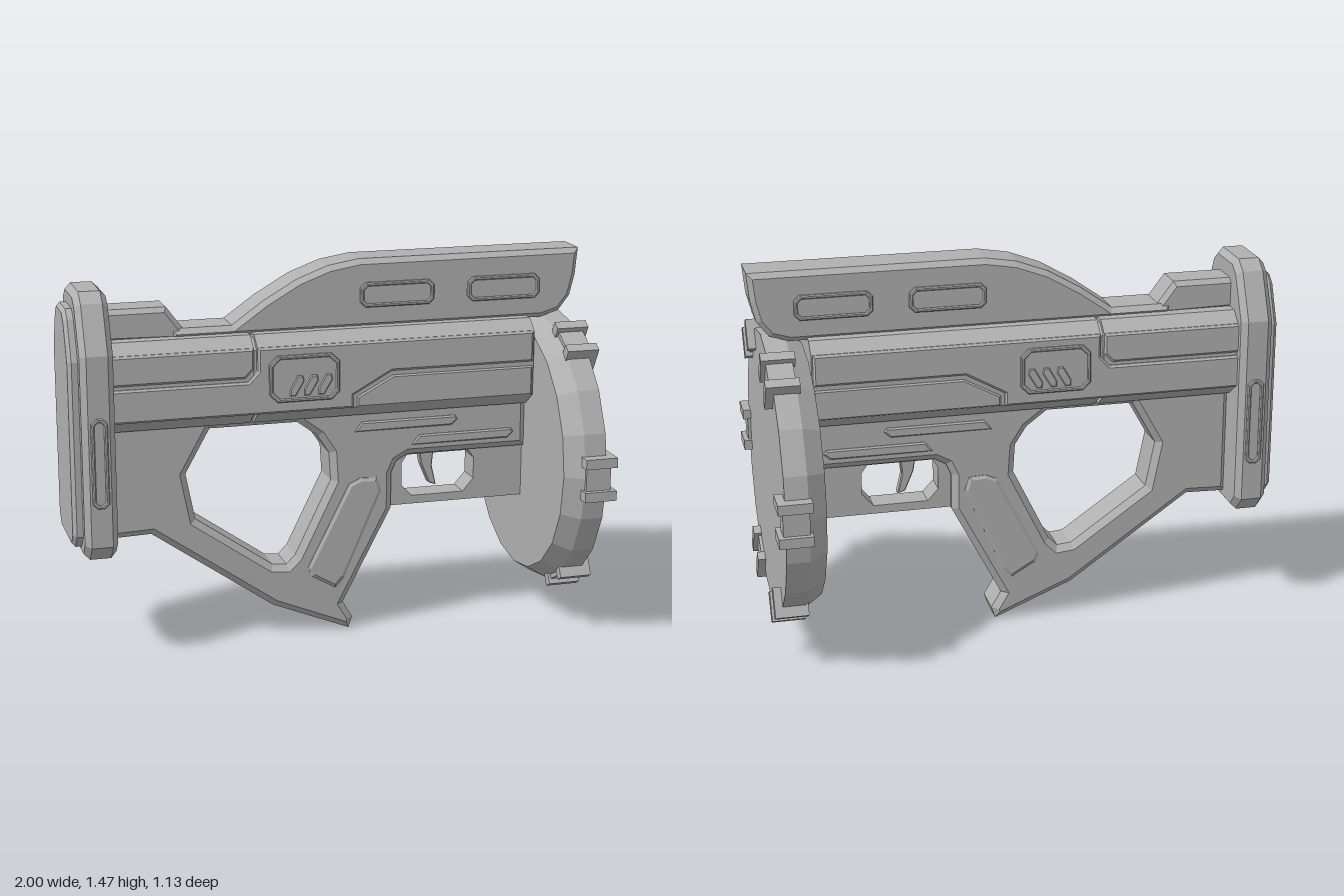
import * as THREE from 'three';

const grey = new THREE.MeshStandardMaterial({ color: 0xb0b0b0, flatShading: true });

function outline(points, Type = THREE.Shape) {
  return new Type(points.map(([x, y]) => new THREE.Vector2(x, y)));
}

// Chamfered slab, symmetric about z = 0; the outline is the widest contour
function slabGeometry(points, half, bevel = 0, bevelDepth = bevel, holes = []) {
  const shape = outline(points);
  holes.forEach(h => shape.holes.push(outline(h, THREE.Path)));
  const depth = 2 * (half - bevelDepth);
  const geo = new THREE.ExtrudeGeometry(shape, {
    depth, bevelEnabled: bevel > 0, bevelSize: bevel, bevelThickness: bevelDepth,
    bevelOffset: -bevel, bevelSegments: 1, curveSegments: 6,
  });
  return geo.translate(0, 0, -depth / 2);
}

// Rectangle with cut corners
function cutRect(x0, y0, x1, y1, c) {
  return [[x0 + c, y0], [x1 - c, y0], [x1, y0 + c], [x1, y1 - c],
    [x1 - c, y1], [x0 + c, y1], [x0, y1 - c], [x0, y0 + c]];
}

// Mirrors a half section (z, y) into a closed outline
function mirrored(half) {
  return [...half, ...half.map(([z, y]) => [-z, y]).reverse()];
}

export function createModel() {
  const model = new THREE.Group();
  const add = (name, geo, parent = model) => {
    const mesh = new THREE.Mesh(geo, grey);
    mesh.name = name;
    parent.add(mesh);
    return mesh;
  };
  const slab = (name, ...args) => add(name, slabGeometry(...args));
  // Section in (z, y) extruded along x
  const bar = (name, half, x0, x1, bevel = 0) => {
    const geo = slabGeometry(mirrored(half), (x1 - x0) / 2, bevel);
    add(name, geo.rotateY(Math.PI / 2).translate((x0 + x1) / 2, 0, 0));
  };
  // Raised rim around a lower plate
  const framedSlot = (name, x0, y0, x1, y1, half, c = 0.02) => {
    const w = 0.014;
    slab(name + 'Rim', cutRect(x0, y0, x1, y1, c), half, 0.004, 0.004,
      [cutRect(x0 + w, y0 + w, x1 - w, y1 - w, c * 0.7)]);
    slab(name + 'Plate', cutRect(x0 + w, y0 + w, x1 - w, y1 - w, c * 0.7), half - 0.006);
  };

  // Receiver core in two lengths with a narrow seam between them
  const core = [[0.1, 0.87], [0.168, 0.92], [0.172, 1.17], [0.12, 1.212]];
  bar('rearReceiver', core, -0.86, -0.312);
  bar('frontReceiver', core, -0.298, 0.79);
  bar('receiverSeam', [[0.09, 0.88], [0.155, 0.93], [0.158, 1.16], [0.11, 1.2]], -0.32, -0.29);

  // Side armour of the receiver
  slab('rearUpperArmour', [[-0.85, 1.06], [-0.345, 1.06], [-0.312, 1.095], [-0.312, 1.172], [-0.85, 1.172]],
    0.182, 0.008);
  slab('mainArmour', [[-0.85, 0.92], [0.07, 0.92], [0.07, 0.97], [0.22, 1.053], [0.785, 1.053],
    [0.785, 1.172], [-0.298, 1.172], [-0.298, 1.085], [-0.335, 1.046], [-0.85, 1.046]], 0.182, 0.008);
  slab('lowerFrontArmour', [[0.085, 0.92], [0.785, 0.92], [0.785, 1.035], [0.225, 1.035], [0.085, 0.96]],
    0.176, 0.006);

  // Side badge plate with three slanted bars
  const badge = cutRect(-0.257, 0.963, 0.012, 1.14, 0.03);
  slab('sidePlate', badge, 0.19, 0.01, 0.008);
  slab('sidePlateRim', badge, 0.194, 0.004, 0.004, [cutRect(-0.243, 0.977, -0.002, 1.126, 0.026)]);
  for (let i = 0; i < 3; i++) {
    const x = -0.18 + i * 0.055;
    slab('slantedBar', [[x, 0.985], [x + 0.022, 0.985], [x + 0.055, 1.04], [x + 0.05, 1.062],
      [x + 0.03, 1.062], [x, 1.01]], 0.194, 0.004);
  }

  // Lower frame: stock, grip and forward body around the large opening
  slab('frame', [[-0.85, 0.45], [-0.69, 0.455], [-0.22, 0.125], [0.085, 0], [0.1, 0.045], [0.062, 0.11],
    [0.255, 0.48], [0.255, 0.62], [0.275, 0.665], [0.32, 0.69], [0.8, 0.69], [0.8, 0.9], [-0.85, 0.9]],
  0.087, 0.022, 0.022);
  const frame = model.children[model.children.length - 1];
  frame.geometry.dispose();
  frame.geometry = slabGeometry([[-0.85, 0.45], [-0.69, 0.455], [-0.22, 0.125], [0.085, 0], [0.1, 0.045],
    [0.062, 0.11], [0.255, 0.48], [0.255, 0.62], [0.275, 0.665], [0.32, 0.69], [0.8, 0.69], [0.8, 0.9],
    [-0.85, 0.9]], 0.087, 0.025, 0.022, [[[-0.46, 0.85], [-0.12, 0.85], [-0.04, 0.79], [0.005, 0.72],
    [0.012, 0.61], [-0.13, 0.32], [-0.165, 0.285], [-0.22, 0.29], [-0.52, 0.5], [-0.555, 0.68]]]);

  // Grip inlay
  const grip = [[0.125, 0.615], [0.19, 0.612], [0.208, 0.56], [0.06, 0.22], [0.025, 0.18],
    [-0.07, 0.235], [-0.085, 0.27], [0.08, 0.595]];
  slab('gripPanel', grip, 0.098, 0.012, 0.008);

  // Slim raised strips on the forward body
  for (const [x, y] of [[0.1, 0.8], [0.33, 0.732]]) {
    slab('bodyStrip', [[x, y], [x + 0.39, y], [x + 0.415, y + 0.022], [x + 0.405, y + 0.038],
      [x + 0.03, y + 0.038]], 0.095, 0.006);
  }

  // Trigger guard and trigger
  slab('triggerGuard', [[0.24, 0.482], [0.81, 0.482], [0.81, 0.7], [0.24, 0.7]], 0.05, 0, 0,
    [[[0.325, 0.682], [0.575, 0.682], [0.598, 0.65], [0.598, 0.565], [0.555, 0.515], [0.345, 0.515],
      [0.303, 0.56], [0.303, 0.65]]]);
  slab('trigger', [[0.38, 0.7], [0.392, 0.63], [0.425, 0.552], [0.455, 0.542], [0.437, 0.62], [0.445, 0.7]],
    0.02, 0.004);

  // Top rail and cheek rest
  slab('topRail', [[-0.6, 1.2], [0.85, 1.2], [0.925, 1.222], [0.97, 1.28], [0.99, 1.36], [1, 1.465],
    [0.12, 1.465], [0, 1.445], [-0.12, 1.4], [-0.25, 1.325], [-0.37, 1.24], [-0.6, 1.24]], 0.087, 0.02);
  slab('cheekRest', [[-0.86, 1.2], [-0.53, 1.2], [-0.55, 1.235], [-0.615, 1.322], [-0.86, 1.322]],
    0.075, 0.018);
  framedSlot('frontRailSlot', 0.545, 1.283, 0.835, 1.377, 0.1);
  framedSlot('rearRailSlot', 0.12, 1.283, 0.41, 1.377, 0.1);

  // Butt plate and pad
  bar('buttPlate', [[0.17, 0.41], [0.225, 0.47], [0.225, 1.19], [0.14, 1.365], [0.09, 1.402]],
    -0.963, -0.84, 0.022);
  bar('buttPad', [[0.125, 0.45], [0.17, 0.5], [0.17, 1.16], [0.105, 1.305], [0.065, 1.337]],
    -1, -0.94, 0.014);
  framedSlot('buttSlot', -0.933, 0.62, -0.87, 0.96, 0.231, 0.018);

  // Front disc with a chamfered rear edge
  const disc = new THREE.Group();
  disc.name = 'frontDisc';
  disc.position.y = 0.678;
  model.add(disc);
  const profile = [[0, 0.797], [0.49, 0.797], [0.535, 0.865], [0.535, 0.95], [0, 0.95]];
  add('discBody', new THREE.LatheGeometry(profile.map(([r, h]) => new THREE.Vector2(r, h)), 20)
    .rotateZ(-Math.PI / 2), disc);

  // Six clips hooked over the rim
  const box = (name, parent, x0, x1, y0, y1, z0, z1) =>
    add(name, new THREE.BoxGeometry(x1 - x0, y1 - y0, z1 - z0)
      .translate((x0 + x1) / 2, (y0 + y1) / 2, (z0 + z1) / 2), parent);
  for (let i = 0; i < 6; i++) {
    const clip = new THREE.Group();
    clip.name = 'rimClip';
    clip.rotation.x = Math.PI / 2 + i * Math.PI / 3;
    disc.add(clip);
    for (const s of [-1, 1]) {
      const z = s * 0.064;
      box('clipArm', clip, 0.855, 0.98, 0.51, 0.565, z - 0.019, z + 0.019);
      box('clipHook', clip, 0.94, 0.98, 0.45, 0.53, z - 0.019, z + 0.019);
    }
    box('clipBridge', clip, 0.865, 0.962, 0.465, 0.545, -0.05, 0.05);
  }
  return model;
}
